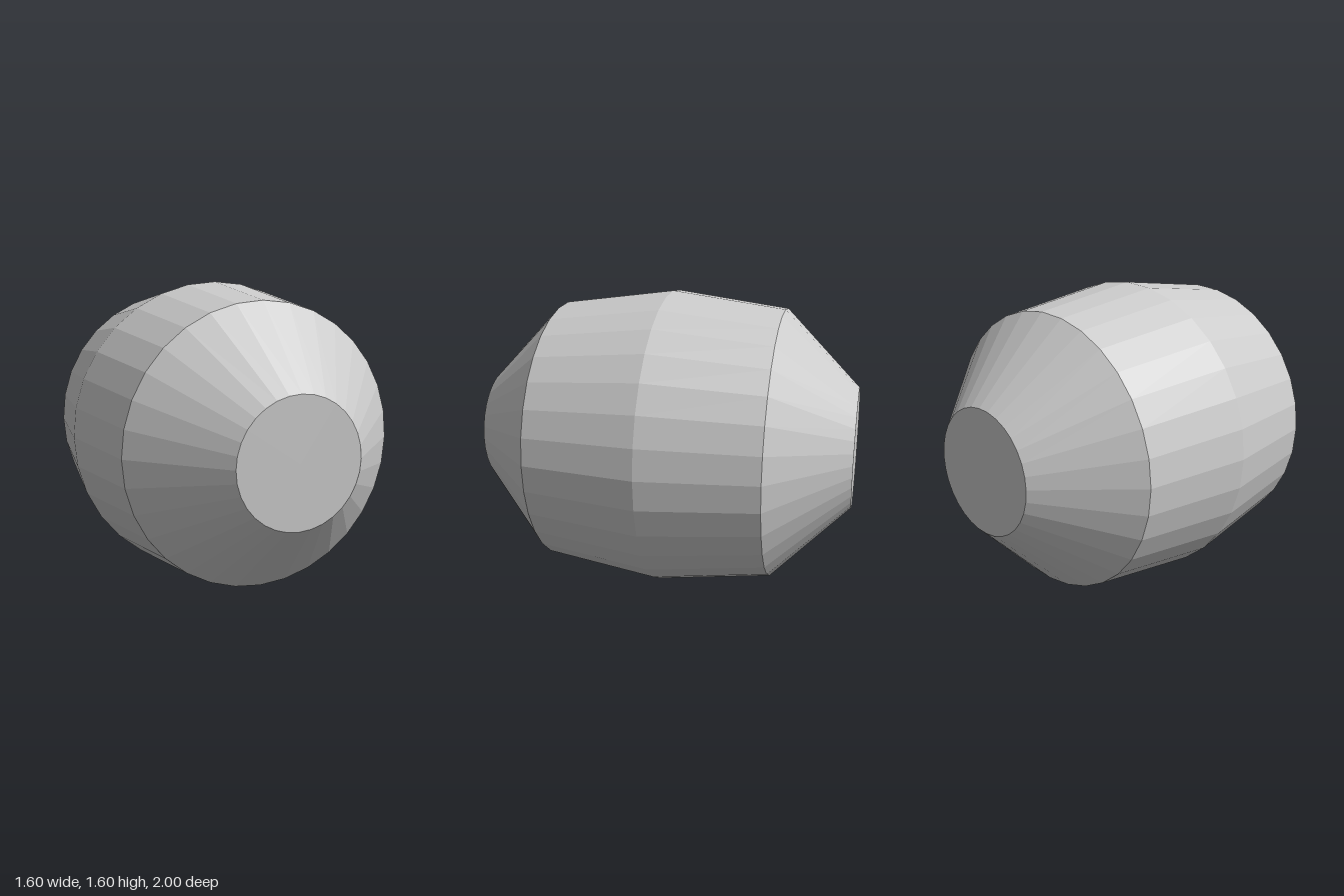
import * as THREE from 'three';

export function createModel() {
  const group = new THREE.Group();
  group.name = 'barrel';
  const material = new THREE.MeshStandardMaterial({ color: 0xcccccc, flatShading: true });

  // Closed profile as [radius, distance along the axis]: cap, taper, bulge, taper, cap
  const profile = [[0, -1], [0.32, -1], [0.72, -0.6], [0.8, 0], [0.72, 0.6], [0.32, 1], [0, 1]]
    .map(([r, h]) => new THREE.Vector2(r, h));

  // Faceted barrel body, laid along z
  const geometry = new THREE.LatheGeometry(profile, 32);
  geometry.rotateX(Math.PI / 2);
  const body = new THREE.Mesh(geometry, material);
  body.name = 'barrelBody';
  body.position.y = 0.8;
  group.add(body);

  return group;
}
